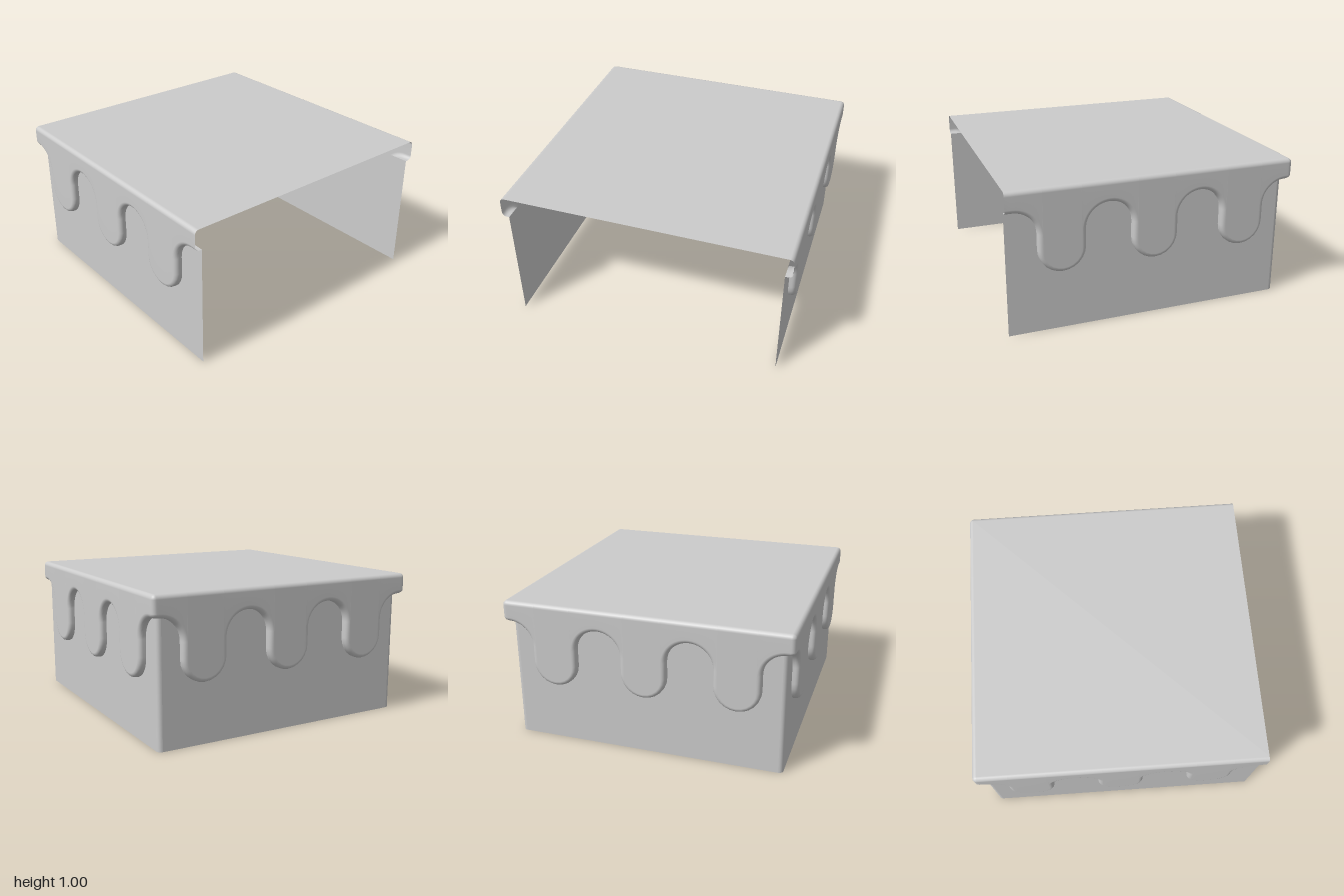
import * as THREE from 'three';

const R = 0.03;              // rounding of all edges
const ARC = 0.159;           // radius of drip tips and of the gaps between them
const PITCH = 4 * ARC;       // distance between drips
const GAP_Y = 0.695;         // arc centre of the gaps
const TIP_Y = 0.579;         // arc centre of the drip tips
const LIP_Y = GAP_Y + ARC;   // top of the gaps
const STEPS = 12;

const material = new THREE.MeshStandardMaterial({ color: 0xcccccc, side: THREE.DoubleSide });

// Wavy lower edge along one side as [u, y], drawn inset by o
function dripLine(o) {
  const pts = [];
  const arc = (cu, cy, r, from, to, skip) => {
    for (let i = skip; i <= STEPS; i++) {
      const a = from + (to - from) * i / STEPS;
      pts.push([cu + r * Math.cos(a), cy + r * Math.sin(a)]);
    }
  };
  for (let k = -1; k <= 1; k++) {
    const c = k * PITCH;
    arc(c - PITCH / 2, GAP_Y, ARC + o, Math.PI / 2, 0, k < 0 ? 0 : 1);
    arc(c, TIP_Y, ARC - o, Math.PI, 2 * Math.PI, 0);
    arc(c + PITCH / 2, GAP_Y, ARC + o, Math.PI, Math.PI / 2, 0);
  }
  return pts;
}

// Path around right side, back and left side; c = corner centre, r = corner radius
function path(o, c, r, flatY) {
  const out = [];
  const add = (x, y, z, turns) => {
    for (let i = 0; i < turns; i++) [x, z] = [z, -x];
    out.push([x, flatY ?? y, z]);
  };
  for (let k = 0; k < 3; k++) {
    const lo = k === 0 ? -1 : -c, hi = k === 2 ? 1 : c;
    for (const [u, y] of [[lo, LIP_Y + o], ...dripLine(o), [hi, LIP_Y + o]]) {
      add(c + r, y, -THREE.MathUtils.clamp(u, lo, hi), k);
    }
    for (let i = 1; k < 2 && i < 6; i++) {
      const a = i / 6 * Math.PI / 2;
      add(c + r * Math.cos(a), LIP_Y + o, -(c + r * Math.sin(a)), k);
    }
  }
  return out;
}

// Skin a list of equally long rows
function skin(rows) {
  const n = rows[0].length, index = [];
  for (let j = 0; j < rows.length - 1; j++) {
    for (let i = 0; i < n - 1; i++) {
      const a = j * n + i, b = a + n;
      index.push(a, b, b + 1, a, b + 1, a + 1);
    }
  }
  const geo = new THREE.BufferGeometry();
  geo.setAttribute('position', new THREE.Float32BufferAttribute(rows.flat(2), 3));
  geo.setIndex(index);
  geo.computeVertexNormals();
  return geo;
}

export function createModel() {
  const group = new THREE.Group();
  const add = (name, geo) => {
    const mesh = new THREE.Mesh(geo, material);
    mesh.name = name;
    group.add(mesh);
    return mesh;
  };

  // Three walls, open at the front and below
  add('walls', skin([path(0, 0.92, R, LIP_Y), path(0, 0.92, R, 0)]));

  // Dripping skirt: rounded top edge, flat face, rounded lower rim, return to the wall
  const rows = [];
  for (let i = 0; i <= 5; i++) {
    const a = i / 5 * Math.PI / 2;
    rows.push(path(R, 1 - R, R * Math.sin(a), 1 - R + R * Math.cos(a)));
  }
  for (let i = 0; i <= 5; i++) {
    const a = i / 5 * Math.PI / 2;
    rows.push(path(R * (1 - Math.sin(a)), 1 - 2 * R + R * Math.cos(a), R));
  }
  rows.push(path(0, 0.92, R));
  const skirt = skin(rows);
  for (let i = 0; i < rows[0].length; i++) skirt.attributes.normal.setXYZ(i, 0, 1, 0);
  add('drippingSkirt', skirt);

  // Flat top, running to the open front
  const top = add('top', new THREE.PlaneGeometry(2 - 2 * R, 2 - R).rotateX(-Math.PI / 2));
  top.position.set(0, 1, R / 2);

  return group;
}
